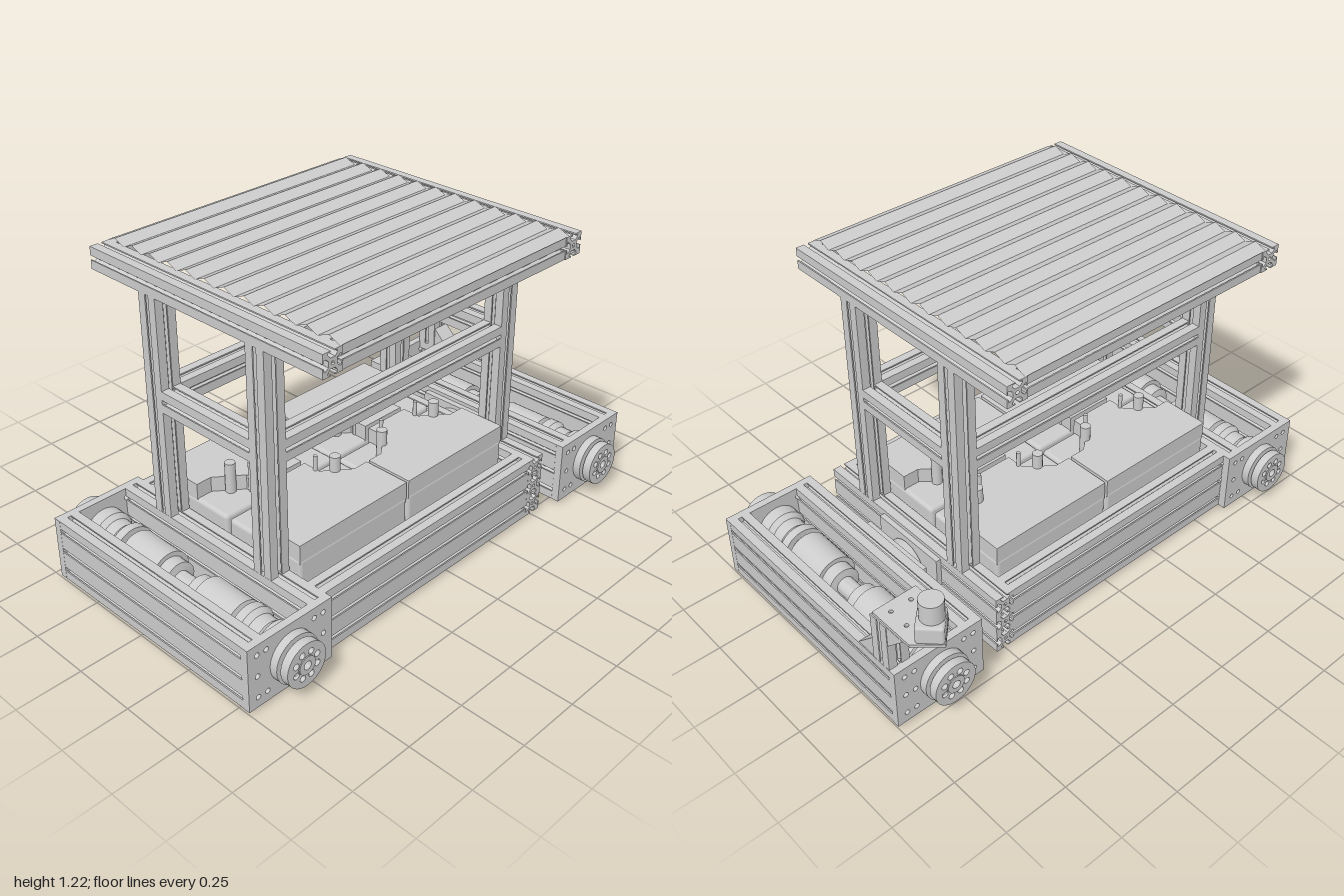
import * as THREE from 'three';
import { toCreasedNormals } from 'three/addons/utils/BufferGeometryUtils.js';
import { RoundedBoxGeometry } from 'three/addons/geometries/RoundedBoxGeometry.js';

const S = 0.083; // width of one slotted beam
const grey = new THREE.MeshStandardMaterial({ color: 0xcccccc });
const thin = new THREE.MeshStandardMaterial({ color: 0xcccccc, side: THREE.DoubleSide });

function add(parent, name, geometry, x = 0, y = 0, z = 0, material = grey) {
  const mesh = new THREE.Mesh(geometry, material);
  mesh.name = name;
  mesh.position.set(x, y, z);
  parent.add(mesh);
  return mesh;
}

function group(parent, name, x = 0, y = 0, z = 0) {
  const g = new THREE.Group();
  g.name = name;
  g.position.set(x, y, z);
  parent.add(g);
  return g;
}

// Box given by its limits on each axis
function box(parent, name, x0, x1, y0, y1, z0, z1) {
  return add(parent, name, new THREE.BoxGeometry(x1 - x0, y1 - y0, z1 - z0),
    (x0 + x1) / 2, (y0 + y1) / 2, (z0 + z1) / 2);
}

function polygon(points) {
  return new THREE.Shape(points.map(([x, y]) => new THREE.Vector2(x, y)));
}

function hole(shape, x, y, r) {
  shape.holes.push(new THREE.Path().absarc(x, y, r, 0, Math.PI * 2, true));
}

function extrude(shape, depth, curveSegments = 6) {
  return new THREE.ExtrudeGeometry(shape, { depth, bevelEnabled: false, curveSegments });
}

// T-slot section: one side's outline, turned four times
const slotSide = [[-0.5, 0.5], [-0.1, 0.5], [-0.1, 0.44], [-0.24, 0.44], [-0.24, 0.36], [-0.12, 0.22],
  [0.12, 0.22], [0.24, 0.36], [0.24, 0.44], [0.1, 0.44], [0.1, 0.5]];
const slotPoints = [];
for (let k = 0; k < 4; k++) {
  for (const p of slotSide) {
    let [x, y] = p;
    for (let i = 0; i < k; i++) [x, y] = [y, -x];
    slotPoints.push([x * S, y * S]);
  }
}
const slotShape = polygon(slotPoints);
hole(slotShape, 0, 0, 0.08 * S);

// Slotted beam along an axis, centred at x, y, z
function beam(parent, name, axis, length, x, y, z) {
  const g = extrude(slotShape, length);
  g.translate(0, 0, -length / 2);
  if (axis === 'x') g.rotateY(Math.PI / 2);
  if (axis === 'y') g.rotateX(Math.PI / 2);
  return add(parent, name, g, x, y, z);
}

// Three beams stacked into a wall
function wall(parent, name, axis, length, x, z) {
  for (let i = 0; i < 3; i++) beam(parent, name, axis, length, x, 0.0525 + i * S, z);
}

// Disc along z starting at z0, with an optional ring of holes
function disc(parent, name, r, z0, depth, holes = 0) {
  const shape = new THREE.Shape().absarc(0, 0, r, 0, Math.PI * 2);
  if (holes) hole(shape, 0, 0, 0.016);
  for (let i = 0; i < holes; i++) {
    const a = (i + 0.5) / holes * Math.PI * 2;
    hole(shape, Math.cos(a) * 0.05, Math.sin(a) * 0.05, 0.012);
  }
  add(parent, name, toCreasedNormals(extrude(shape, depth, 20), 0.7), 0, 0, z0);
}

// Solid turned around z from [radius, z] points
function turned(parent, name, points) {
  const g = new THREE.LatheGeometry(points.map(([r, z]) => new THREE.Vector2(r, z)), 32);
  g.rotateX(Math.PI / 2);
  add(parent, name, toCreasedNormals(g, 0.6), 0, 0, 0, thin);
}

// End plate, wheel hub and motor; z = 0 is the plate's outer face
function driveEnd(parent, name, x, z, plateX, turn) {
  const g = group(parent, name, x, 0.135, z);
  if (turn) g.rotation.y = Math.PI;
  const c = (plateX - x) * (turn ? -1 : 1);
  const plate = polygon([[c - 0.185, -0.125], [c + 0.185, -0.125], [c + 0.185, 0.125], [c - 0.185, 0.125]]);
  for (const dx of [-0.145, -0.105, 0.105, 0.145])
    for (const dy of [-0.085, 0, 0.085])
      if (Math.hypot(c + dx, dy) > 0.105) hole(plate, c + dx, dy, 0.01);
  add(g, 'endPlate', extrude(plate, 0.03), 0, 0, -0.03);
  disc(g, 'hubFlange', 0.092, 0, 0.03);
  disc(g, 'hubNeck', 0.065, 0.03, 0.012);
  disc(g, 'wheelHub', 0.085, 0.04, 0.032, 8);
  disc(g, 'hubCap', 0.035, 0.07, 0.006, 1);
  turned(g, 'gearbox', [[0, -0.03], [0.085, -0.03], [0.085, -0.08], [0.07, -0.1], [0.07, -0.15],
    [0.085, -0.17], [0.085, -0.205], [0, -0.205]]);
  turned(g, 'motor', [[0, -0.205], [0.06, -0.205], [0.06, -0.22], [0.082, -0.225], [0.082, -0.405], [0, -0.405]]);
  turned(g, 'motorEncoder', [[0, -0.4], [0.064, -0.4], [0.064, -0.455], [0.035, -0.46], [0.035, -0.51], [0, -0.51]]);
}

function battery(parent, cx, cz, mirrorZ) {
  const g = group(parent, 'battery', cx, 0.01, cz);
  g.scale.z = mirrorZ;
  add(g, 'batteryCase', new RoundedBoxGeometry(0.53, 0.3, 0.352, 3, 0.015), 0, 0.15, 0);
  // Raised lid with two recesses for the terminals
  const lid = polygon([[-0.265, -0.176], [0.265, -0.176], [0.265, 0.02], [0.2, 0.02], [0.1, 0.1], [0.1, 0.176],
    [-0.1, 0.176], [-0.1, 0.1], [-0.2, 0.02], [-0.265, 0.02]]);
  const geo = extrude(lid, 0.075);
  geo.rotateX(-Math.PI / 2);
  geo.scale(0.99, 1, 0.99);
  add(g, 'batteryLid', geo, 0, 0.285, 0);
  for (const s of [-1, 1]) {
    add(g, 'terminal', new THREE.CylinderGeometry(0.02, 0.02, 0.13, 16), s * 0.145, 0.355, -0.065);
    add(g, 'terminalPin', new THREE.CylinderGeometry(0.008, 0.008, 0.13, 10), s * 0.095, 0.355, -0.115);
  }
}

export function createModel() {
  const model = new THREE.Group();
  model.name = 'mobileCart';
  const xr = -0.67, xl = 0.5, xm = -0.085, zm = 0.045; // beam centre lines

  // Base frame
  const base = group(model, 'baseFrame');
  for (const x of [xr, xl]) wall(base, 'sideWall', 'z', 0.95, x, zm);
  for (const z of [0.478, -0.388]) wall(base, 'crossWall', 'x', 1.087, xm, z);
  box(base, 'bottomPlate', -0.71, 0.54, 0, 0.011, -0.285, 0.385);

  // Batteries
  for (const x of [-0.353, 0.183]) {
    battery(model, x, 0.214, 1);
    battery(model, x, -0.152, -1);
  }

  // Posts and middle rails
  const tower = group(model, 'tower');
  for (const x of [xr, xl]) {
    for (const z of [0.308, -0.208]) beam(tower, 'post', 'y', 0.855, x, 0.688, z);
    beam(tower, 'sideRail', 'z', 0.433, x, 0.73, 0.05);
  }
  for (const z of [0.308, -0.208]) beam(tower, 'crossRail', 'x', 1.087, xm, 0.73, z);

  // Roof frame and corrugated sheet
  const roof = group(model, 'roof');
  for (const x of [xr, xl]) beam(roof, 'roofSideBeam', 'z', 1.1, x, 1.157, 0.05);
  for (const z of [0.555, -0.455]) beam(roof, 'roofCrossBeam', 'x', 1.087, xm, 1.157, z);
  beam(roof, 'roofMiddleBeam', 'z', 0.927, -0.25, 1.15, 0.05);
  const waves = 12;
  const sheet = new THREE.PlaneGeometry(1.11, 1.1, 1, waves * 2);
  sheet.rotateX(-Math.PI / 2);
  const p = sheet.attributes.position;
  for (let i = 0; i < p.count; i++) p.setY(i, Math.floor(i / 2) % 2 ? 0.019 : 0);
  add(roof, 'corrugatedSheet', toCreasedNormals(sheet, 0.2), xm, 1.2, 0.05, thin);

  // Drive pods: the right one shares the frame's side wall, the left one pivots
  const rightPod = group(model, 'rightDrivePod');
  wall(rightPod, 'podOuterWall', 'z', 0.95, -0.958, zm);
  const leftPod = group(model, 'leftDrivePod');
  for (const x of [0.671, 0.958]) wall(leftPod, 'podWall', 'z', 0.95, x, zm);
  for (const [pod, x, px] of [[rightPod, -0.815, -0.815], [leftPod, 0.808, 0.815]]) {
    driveEnd(pod, 'frontDrive', x, 0.55, px, false);
    driveEnd(pod, 'backDrive', x, -0.46, px, true);
  }

  // Pivot between frame and left pod
  const pivot = group(model, 'pivot');
  box(pivot, 'framePivotPlate', 0.54, 0.562, 0.025, 0.245, -0.13, 0.2);
  box(pivot, 'podPivotPlate', 0.605, 0.63, 0.025, 0.245, -0.13, 0.2);
  for (const [r, w] of [[0.095, 0.035], [0.06, 0.07]]) {
    const c = new THREE.CylinderGeometry(r, r, w, 28);
    c.rotateZ(Math.PI / 2);
    add(pivot, 'pivotHub', c, 0.585, 0.135, 0.035);
  }

  // Sensor mast at the back of the left pod
  const mast = group(model, 'sensorMast');
  beam(mast, 'mastPost', 'y', 0.195, 0.957, 0.357, -0.392);
  const bracket = (name, points, x, w) => { // outline in z, y
    const g = extrude(polygon(points.map(([z, y]) => [-z, y])), w);
    g.rotateY(Math.PI / 2);
    add(mast, name, g, x, 0, 0);
  };
  for (const x of [0.92, 0.984]) {
    bracket('footGusset', [[-0.265, 0.26], [-0.35, 0.26], [-0.35, 0.345]], x, 0.012);
    bracket('headGusset', [[-0.433, 0.37], [-0.52, 0.457], [-0.433, 0.457]], x, 0.012);
  }
  bracket('footGussetWeb', [[-0.265, 0.26], [-0.28, 0.26], [-0.35, 0.33], [-0.35, 0.345]], 0.92, 0.076);
  bracket('headGussetWeb', [[-0.433, 0.37], [-0.52, 0.457], [-0.505, 0.457], [-0.433, 0.385]], 0.92, 0.076);
  const side = polygon([[0.916, 0.37], [0.916, 0.457], [0.83, 0.457]]);
  for (const z of [-0.365, -0.43]) add(mast, 'sideGusset', extrude(side, 0.012), 0, 0, z);
  const top = polygon([[0.82, 0.36], [0.995, 0.36], [0.995, 0.55], [0.91, 0.625], [0.82, 0.53]]);
  for (const [x, z] of [[0.87, 0.4], [0.95, 0.4], [0.95, 0.48]]) hole(top, x, z, 0.008);
  const topGeo = extrude(top, 0.012);
  topGeo.rotateX(-Math.PI / 2);
  add(mast, 'mastPlate', topGeo, 0, 0.457, 0);
  const body = add(mast, 'sensorBody', new RoundedBoxGeometry(0.105, 0.07, 0.095, 2, 0.01), 0.91, 0.502, -0.555);
  body.rotation.y = Math.PI / 4;
  add(mast, 'sensorCylinder', new THREE.CylinderGeometry(0.042, 0.042, 0.08, 28), 0.905, 0.572, -0.555);
  const plug = new THREE.CylinderGeometry(0.01, 0.01, 0.06, 10);
  plug.rotateX(Math.PI / 2);
  plug.rotateY(-Math.PI / 4);
  add(mast, 'sensorPlug', plug, 0.855, 0.49, -0.5);
  return model;
}
